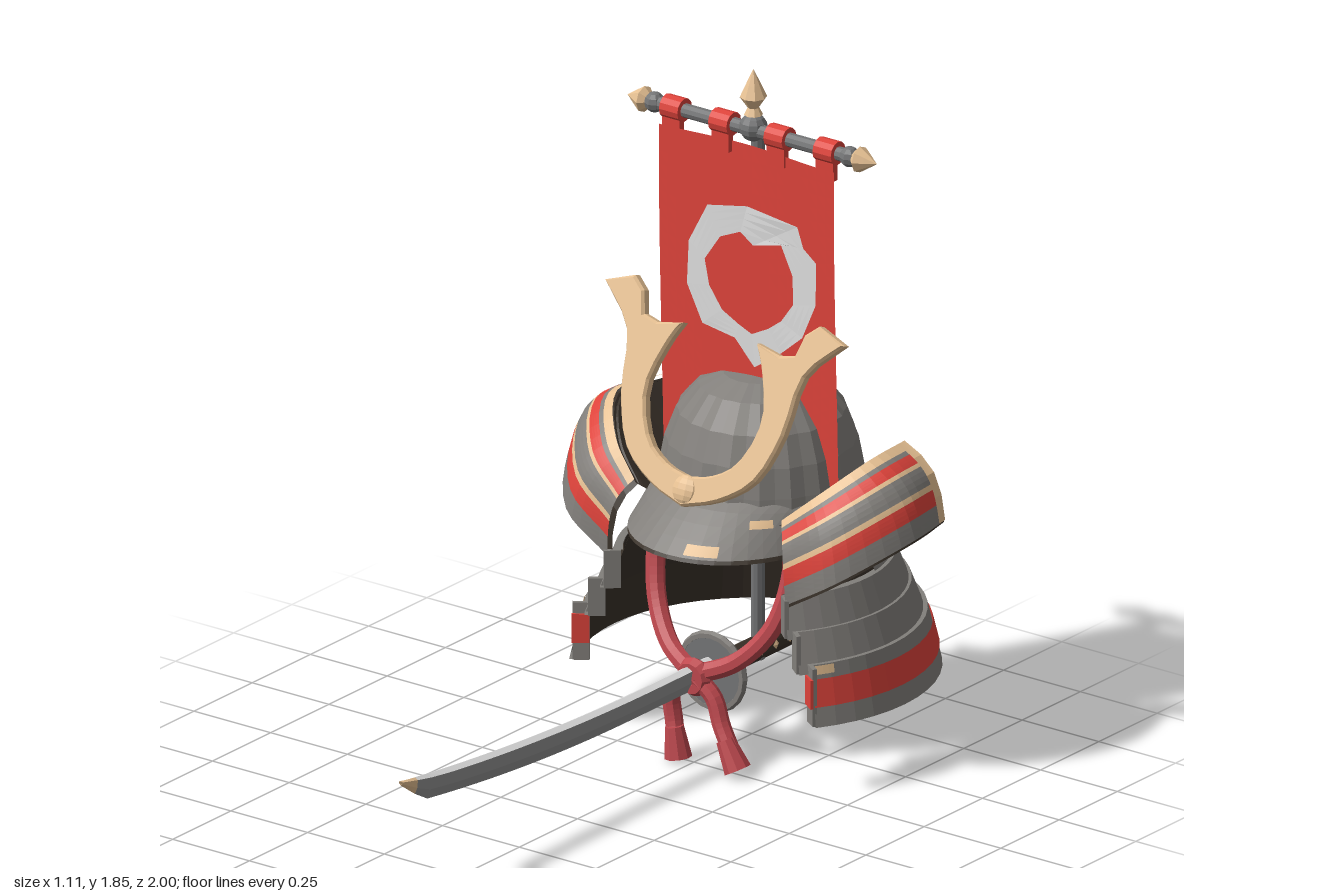
import * as THREE from 'three';

const mat = (name, color) => new THREE.MeshStandardMaterial({ name, color, flatShading: true, side: THREE.DoubleSide });
const M = {
  armour: mat('armour grey', 0x827f7b), lining: mat('dark lining', 0x3a322a), red: mat('cloth red', 0xde433b),
  cord: mat('cord red', 0xbe484e), gold: mat('pale gold', 0xe8c294), white: mat('emblem white', 0xe0e0e0),
  steel: mat('blade steel', 0x959595), iron: mat('dull iron', 0x747576),
};
const V = (x, y, z) => new THREE.Vector3(x, y, z);
const { lerp, clamp } = THREE.MathUtils;
const rad = THREE.MathUtils.degToRad;

function add(parent, name, geo, material, x = 0, y = 0, z = 0) {
  const m = new THREE.Mesh(geo, material);
  m.name = name;
  m.position.set(x, y, z);
  parent.add(m);
  return m;
}

// Grid surface from a rule f(u, v) -> Vector3, with u and v in 0..1
function surf(f, nu, nv) {
  const pos = [], idx = [];
  for (let i = 0; i <= nu; i++) for (let j = 0; j <= nv; j++) pos.push(...f(i / nu, j / nv).toArray());
  for (let i = 0; i < nu; i++) for (let j = 0; j < nv; j++) {
    const a = i * (nv + 1) + j, b = a + nv + 1;
    idx.push(a, b, a + 1, b, b + 1, a + 1);
  }
  const g = new THREE.BufferGeometry();
  g.setAttribute('position', new THREE.Float32BufferAttribute(pos, 3));
  g.setIndex(idx);
  g.computeVertexNormals();
  return g;
}

// Lathe sector between two angles measured from the back of the helmet
const sector = (pts, from = -180, to = 180, seg = 36) => new THREE.LatheGeometry(
  pts.map(p => new THREE.Vector2(...p)), seg, Math.PI + rad(from), rad(to - from));

const curve = pts => new THREE.CatmullRomCurve3(pts.map(([x, y, z = 0]) => V(x, y, z)));
const tube = (pts, r, seg = 24) => new THREE.TubeGeometry(curve(pts), seg, r, 8);

function helmet(root) {
  const g = new THREE.Group();
  g.name = 'helmet';
  g.position.z = -0.54;
  root.add(g);
  // Ribbed bowl
  const profile = [[0.275, 0.66], [0.265, 0.74], [0.25, 0.82], [0.22, 0.9], [0.165, 0.97], [0.1, 1.0], [0.001, 1.01]];
  const dome = sector(profile, -180, 180, 40);
  const p = dome.attributes.position;
  for (let i = 0; i < p.count; i++) {
    const k = Math.floor(i / profile.length) % 2 ? 0.985 : 1.01;
    p.setX(i, p.getX(i) * k);
    p.setZ(i, p.getZ(i) * k);
  }
  add(g, 'bowl', dome, M.armour);
  add(g, 'bowlLining', sector(profile.map(([r, y]) => [r * 0.94, y - 0.015])), M.lining);
  add(g, 'bowlRim', sector([[0.265, 0.645], [0.295, 0.65], [0.29, 0.675], [0.265, 0.685]]), M.armour);
  add(g, 'crownCap', new THREE.CylinderGeometry(0.04, 0.065, 0.03, 9), M.gold, 0, 1.012, -0.01);
  add(g, 'rimPatch', sector([[0.297, 0.653], [0.294, 0.677]], -30, -16, 3), M.gold);

  // Overlapping neck guard tiers: [bottom y, top y, bottom r, top r, half sweep]
  const tiers = [[0.49, 0.665, 0.365, 0.29, 82], [0.41, 0.515, 0.405, 0.365, 131],
    [0.325, 0.43, 0.445, 0.405, 128], [0.19, 0.35, 0.485, 0.447, 124]];
  const guard = new THREE.Group();
  guard.name = 'neckGuard';
  guard.position.z = 0.025;
  g.add(guard);
  tiers.forEach(([y0, y1, r0, r1, sweep], i) => {
    add(guard, 'tier' + (i + 1), sector([[r0 - 0.02, y0], [r0, y0], [r1, y1], [r1 - 0.02, y1]], -sweep, sweep), M.armour);
    add(guard, 'tierLining' + (i + 1), sector([[r0 - 0.022, y0 - 0.002], [r1 - 0.022, y1]], -sweep, sweep), M.lining);
  });
  add(guard, 'redBand', sector([[0.478, 0.243], [0.4605, 0.315]], -124, 124), M.red);
  for (const s of [-1, 1]) {
    // Closed front ends of the lower tiers
    for (const [y0, y1, r0, r1, sweep] of tiers.slice(1)) {
      const a = Math.PI + s * rad(sweep), r = (r0 + r1) / 2 - 0.012;
      const end = add(guard, 'endPlate', new THREE.BoxGeometry(0.012, y1 - y0, 0.045), M.armour,
        r * Math.sin(a), (y0 + y1) / 2, r * Math.cos(a));
      end.rotation.y = a;
    }
    const a = Math.PI + s * rad(125);
    add(guard, 'endRedPatch', new THREE.BoxGeometry(0.009, 0.08, 0.047), M.red,
      0.455 * Math.sin(a), 0.28, 0.455 * Math.cos(a)).rotation.y = a;
    add(guard, 'endGoldPatch', sector([[0.4545, 0.325], [0.4495, 0.348]], s * 120 - 4, s * 120 + 4, 4), M.gold);
    // Dark cheek panels continuing the upper tier
    add(guard, 'cheekPanel', sector([[0.345, 0.49], [0.28, 0.67]], Math.min(s * 80, s * 122), Math.max(s * 80, s * 122), 10), M.lining);
  }

  // Visor over the brow
  const visor = (drop, from, to, a0, a1) => surf((u, v) => {
    const a = lerp(a0, a1, u), t = lerp(from, to, v), c = Math.cos(a);
    const r = lerp(0.26, 0.275 + 0.135 * c * c, t);
    return V(r * Math.sin(a), 0.715 - 0.1 * t ** 1.3 + 0.02 * c * (1 - t) - drop, r * c);
  }, 20, 4);
  add(g, 'visor', visor(0, 0, 1, -1.1, 1.1), M.armour);
  add(g, 'visorLining', visor(0.012, 0, 1, -1.1, 1.1), M.lining);
  add(g, 'visorPatch', visor(-0.004, 0.82, 0.98, 0.12, 0.35), M.gold);
  add(g, 'visorPatch', visor(-0.004, 0.4, 0.55, 0.55, 0.75), M.gold);
}

// Turned-back side flaps with striped faces
function flap(side) {
  const g = new THREE.Group();
  g.name = side > 0 ? 'leftFlap' : 'rightFlap';
  const top = curve([[0.39, 0.865, -0.64], [0.41, 0.87, -0.46], [0.33, 0.79, -0.35], [0.24, 0.71, -0.31]]);
  const low = curve([[0.53, 0.68, -0.63], [0.555, 0.68, -0.47], [0.44, 0.59, -0.28], [0.29, 0.5, -0.26]]);
  const patch = (u0, u1, v0, v1, off = 0) => surf((a, b) => {
    const u = lerp(u0, u1, a), v = lerp(v0, v1, b), q = top.getPoint(u).lerp(low.getPoint(u), v);
    const k = 0.03 * Math.sin(Math.PI * v) - off;
    return V(side * (q.x + k * (1 - 0.6 * u)), q.y + k, q.z - off + 0.02 * u * Math.sin(Math.PI * v));
  }, 14, 4);
  const stripes = [[0, 0.12, 'gold'], [0.12, 0.18, 'armour'], [0.18, 0.32, 'red'], [0.32, 0.37, 'gold'],
    [0.37, 0.6, 'armour'], [0.6, 0.66, 'gold'], [0.66, 0.82, 'red'], [0.82, 1, 'armour']];
  for (const [v0, v1, c] of stripes) add(g, c + 'Stripe', patch(0.07, 1, v0, v1), M[c]);
  add(g, 'backBorder', patch(0, 0.07, 0, 1), M.gold);
  add(g, 'flapLining', patch(0, 1, 0, 1, 0.013), M.lining);
  // Dark web joining the flap to the bowl
  add(g, 'flapWeb', surf((u, v) => {
    const a = lerp(2.0, 0.75, u), q = top.getPoint(u).lerp(V(0.27 * Math.sin(a), 0.675, -0.54 + 0.27 * Math.cos(a)), v);
    return V(side * q.x, q.y - 0.012, q.z - 0.006);
  }, 12, 3), M.lining);
  return g;
}

function crest(root) {
  const smooth = (pts, n) => curve(pts).getPoints(n).map(p => [p.x, p.y]);
  const half = [
    ...smooth([[0, 0.72], [0.11, 0.755], [0.21, 0.825], [0.265, 0.95], [0.29, 1.1], [0.39, 1.2]], 15),
    [0.3, 1.23], [0.262, 1.2], [0.245, 1.145], [0.2, 1.135],
    ...smooth([[0.12, 1.15], [0.155, 1.085], [0.187, 0.97], [0.14, 0.855], [0.07, 0.81], [0, 0.795]], 14)];
  const pt = ([x, y]) => new THREE.Vector2(x, (y - 0.72) * 1.077);
  const mirrored = half.slice(1, -1).reverse().map(([x, y]) => [-x, y]);
  const geo = new THREE.ExtrudeGeometry(new THREE.Shape([...half, ...mirrored].map(pt)),
    { depth: 0.02, bevelThickness: 0.008, bevelSize: 0.006, bevelOffset: -0.006, bevelSegments: 1 });
  const horns = add(root, 'crestHorns', geo, M.gold, 0, 0.72, -0.215);
  horns.rotation.x = -0.37;
  add(horns, 'crestBoss', new THREE.SphereGeometry(0.04, 10, 8), M.gold, 0, 0.045, 0.02).scale.z = 0.5;
}

function banner(root) {
  const g = new THREE.Group();
  g.name = 'banner';
  root.add(g);
  const wave = (x, y) => -0.486 + 0.011 * Math.sin(x * 11 + y * 3);
  add(g, 'cloth', surf((u, v) => {
    const x = lerp(-0.285, 0.285, u), y = lerp(0.56 + 0.7 * Math.abs(x), 1.64, v);
    return V(x, y, wave(x, y));
  }, 20, 24), M.red);
  // Ragged painted ring on both faces
  const outer = [[-0.13, 1.45], [-0.01, 1.47], [0.16, 1.455], [0.18, 1.4], [0.225, 1.37], [0.22, 1.25], [0.17, 1.145],
    [0.1, 1.085], [0.02, 1.03], [-0.04, 1.1], [-0.14, 1.12], [-0.19, 1.22], [-0.185, 1.34]];
  const inner = [[-0.09, 1.37], [-0.03, 1.395], [0.01, 1.365], [0.1, 1.39], [0.14, 1.31], [0.14, 1.23], [0.1, 1.175],
    [0.06, 1.145], [0.01, 1.12], [-0.03, 1.14], [-0.08, 1.17], [-0.12, 1.23], [-0.135, 1.3]];
  for (const off of [-0.005, 0.005]) add(g, 'paintedRing', surf((u, v) => {
    const i = Math.round(u * 13) % 13;
    const x = lerp(outer[i][0], inner[i][0], v), y = lerp(outer[i][1], inner[i][1], v);
    return V(x, y, wave(x, y) + off);
  }, 13, 4), M.white);

  // Pole, crossbar, loops and finials
  add(g, 'pole', new THREE.CylinderGeometry(0.019, 0.019, 1.48, 10), M.iron, 0, 0.94, -0.524);
  for (const y of [1.13, 1.53]) add(g, 'poleCollar', new THREE.CylinderGeometry(0.025, 0.025, 0.035, 10), M.gold, 0, y, -0.525);
  add(g, 'crossbar', new THREE.CylinderGeometry(0.019, 0.019, 0.68, 10), M.iron, 0, 1.685, -0.5).rotation.z = Math.PI / 2;
  add(g, 'poleHead', new THREE.SphereGeometry(0.038, 10, 8), M.iron, 0, 1.69, -0.505);
  for (const x of [-0.25, -0.09, 0.09, 0.25]) {
    add(g, 'clothLoop', new THREE.CylinderGeometry(0.032, 0.032, 0.06, 12), M.red, x, 1.685, -0.5).rotation.z = Math.PI / 2;
    add(g, 'clothTab', new THREE.BoxGeometry(0.056, 0.07, 0.02), M.red, x, 1.645, -0.49);
  }
  const spear = new THREE.LatheGeometry([[0, 0], [0.025, 0], [0.015, 0.02], [0.036, 0.05], [0.02, 0.085], [0.001, 0.125]]
    .map(q => new THREE.Vector2(...q)), 8);
  add(g, 'topFinial', spear, M.gold, 0, 1.725, -0.505);
  for (const s of [-1, 1]) {
    const f = add(g, 'endFinial', spear, M.gold, s * 0.315, 1.685, -0.5);
    f.rotation.z = -s * Math.PI / 2;
    f.scale.y = 0.72;
    add(g, 'endCollar', new THREE.SphereGeometry(0.028, 8, 6), M.iron, s * 0.318, 1.685, -0.5);
  }
}

function sword(root) {
  const g = new THREE.Group();
  g.name = 'sword';
  root.add(g);
  const upper = z => 0.267 + 0.07 * Math.max(0, (z + 0.1) / 1.1) ** 2;
  const lower = z => z < 0.9 ? 0.195 + 0.06 * Math.max(0, z / 0.9) ** 2 : lerp(0.255, 0.325, (z - 0.9) / 0.1);
  // Blade strips: each section is a list of [x, height fraction]
  const blade = (section, z0, z1, n) => surf((u, v) => {
    const k = section.length - 1, z = lerp(z0, z1, u), [x, h] = section[Math.round(v * k)];
    return V(x * 0.017 * (1 - 0.6 * clamp((z - 0.8) / 0.2, 0, 1)) - 0.006, lerp(lower(z), upper(z), h), z);
  }, n, section.length - 1);
  const sides = [[1, 0.88], [0.8, 0.4], [0, 0], [-0.8, 0.4], [-1, 0.88]], spine = [[-1, 0.88], [0, 1], [1, 0.88]];
  add(g, 'bladeSides', blade(sides, -0.33, 0.94, 24), M.steel);
  add(g, 'bladeSpine', blade(spine, -0.33, 0.94, 24), M.white);
  add(g, 'bladeTip', blade([...sides, ...spine.slice(1)], 0.94, 1, 4), M.gold);
  const disc = add(g, 'handGuard', new THREE.CylinderGeometry(0.105, 0.105, 0.02, 20), M.iron, 0, 0.225, -0.33);
  disc.rotation.x = Math.PI / 2;
  add(g, 'guardRim', new THREE.TorusGeometry(0.1, 0.012, 6, 20), M.armour, 0, 0.225, -0.33);
  const grip = add(g, 'grip', new THREE.CylinderGeometry(0.036, 0.036, 0.48, 10), M.lining, 0, 0.23, -0.57);
  grip.rotation.x = Math.PI / 2;
  grip.scale.x = 0.7;
  for (let i = 0; i < 7; i++) for (const s of [-1, 1])
    add(g, 'gripDiamond', new THREE.OctahedronGeometry(0.013), M.gold, s * 0.025, 0.23, -0.39 - i * 0.06).scale.x = 0.4;
  add(g, 'pommel', new THREE.SphereGeometry(0.038, 10, 8), M.armour, 0, 0.23, -0.81);
}

function chinCord(root) {
  const g = new THREE.Group();
  g.name = 'chinCord';
  root.add(g);
  for (const s of [-1, 1]) add(g, 'cordSide', tube([[s * 0.21, 0.66, -0.39], [s * 0.22, 0.54, -0.38],
    [s * 0.19, 0.39, -0.34], [s * 0.11, 0.29, -0.29], [0, 0.24, -0.25]], 0.026), M.cord);
  add(g, 'knot', new THREE.TorusGeometry(0.03, 0.024, 6, 12), M.cord, 0, 0.235, -0.25);
  // Hanging ends with flared tassels
  for (const path of [[[0, 0.24, -0.25], [-0.07, 0.18, -0.25], [-0.065, 0.1, -0.25], [-0.05, 0.055, -0.24]],
    [[0, 0.24, -0.25], [0.06, 0.19, -0.255], [0.09, 0.12, -0.25], [0.13, 0.06, -0.24]]]) {
    add(g, 'cordEnd', tube(path, 0.024, 14), M.cord);
    const [x, y, z] = path[3];
    const t = add(g, 'tassel', new THREE.CylinderGeometry(0.025, 0.037, 0.085, 9), M.cord, x, y - 0.009, z);
    t.rotation.z = x > 0 ? 0.5 : 0.15;
  }
}

export function createModel() {
  const root = new THREE.Group();
  root.name = 'displayHelmet';
  helmet(root);
  root.add(flap(1), flap(-1));
  crest(root);
  banner(root);
  sword(root);
  chinCord(root);
  return root;
}
